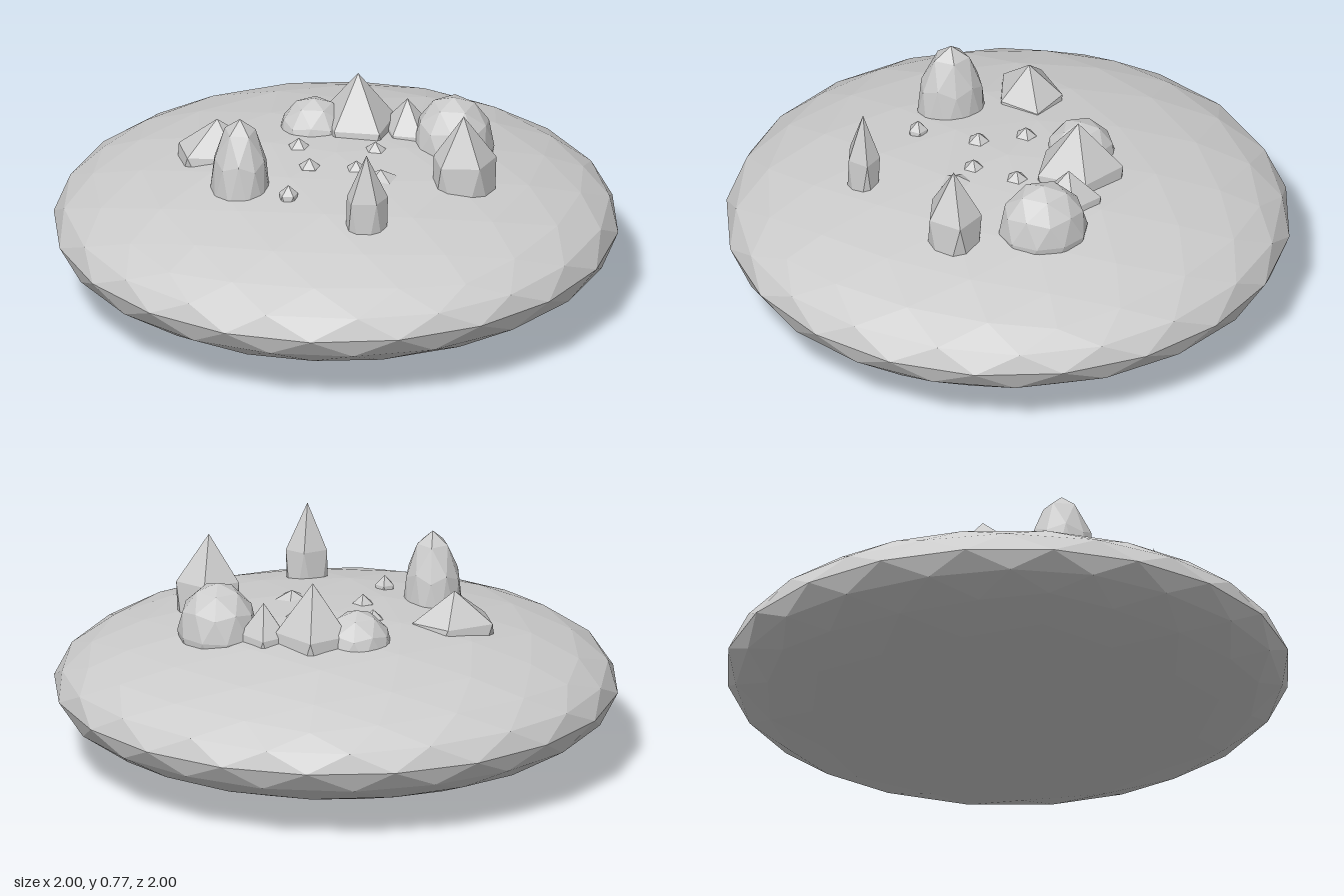
import * as THREE from 'three';

const stone = new THREE.MeshStandardMaterial({ color: 0xcccccc });
stone.name = 'paleStone';

// Faceted ball with one corner straight up, stretched to the given radii.
function facetedBall(name, detail, [x, y, z], [rx, ry, rz]) {
  const geometry = new THREE.IcosahedronGeometry(1, detail);
  geometry.rotateZ(Math.atan(2 / (1 + Math.sqrt(5))));
  geometry.rotateY(Math.PI);
  geometry.scale(rx, ry, rz);
  geometry.computeVertexNormals(); // unshared corners give flat facets
  const mesh = new THREE.Mesh(geometry, stone);
  mesh.name = name;
  mesh.position.set(x, y, z);
  return mesh;
}

export function createModel() {
  const model = new THREE.Group();
  model.name = 'rockyIsland';

  // Flattened island body
  model.add(facetedBall('islandBody', 3, [0, 0.27, 0], [1, 0.27, 1]));

  // Rounded boulders
  const boulders = [
    ['leftBoulder', [-0.377, 0.47, 0.13], [0.107, 0.3, 0.125]],
    ['rightBoulder', [0.435, 0.51, -0.04], [0.143, 0.18, 0.16]],
    ['backBoulder', [-0.02, 0.48, -0.265], [0.128, 0.15, 0.128]],
  ];
  for (const [name, position, radii] of boulders) model.add(facetedBall(name, 1, position, radii));

  // Pointed rocks
  const spikes = [
    ['frontSpike', [-0.008, 0.463, 0.52], [0.087, 0.307, 0.066]],
    ['rightSpike', [0.4, 0.46, 0.275], [0.132, 0.305, 0.11]],
    ['backSpike', [0.132, 0.414, -0.227], [0.15, 0.316, 0.18]],
    ['smallBackSpike', [0.295, 0.45, -0.16], [0.095, 0.195, 0.13]],
    ['leftBackSpike', [-0.395, 0.44, -0.155], [0.17, 0.2, 0.13]],
  ];
  for (const [name, position, radii] of spikes) model.add(facetedBall(name, 0, position, radii));

  // Pebbles scattered in the middle: x, z, radius, top height
  const pebbles = [
    [-0.115, -0.087, 0.043, 0.568],
    [0.143, -0.003, 0.046, 0.565],
    [-0.115, 0.083, 0.044, 0.568],
    [0.043, 0.133, 0.044, 0.565],
    [-0.235, 0.277, 0.038, 0.565],
    [0.115, 0.208, 0.073, 0.557],
  ];
  pebbles.forEach(([x, z, r, top], i) => {
    model.add(facetedBall(`pebble${i + 1}`, 0, [x, top - 0.06, z], [r, 0.06, r]));
  });

  return model;
}
